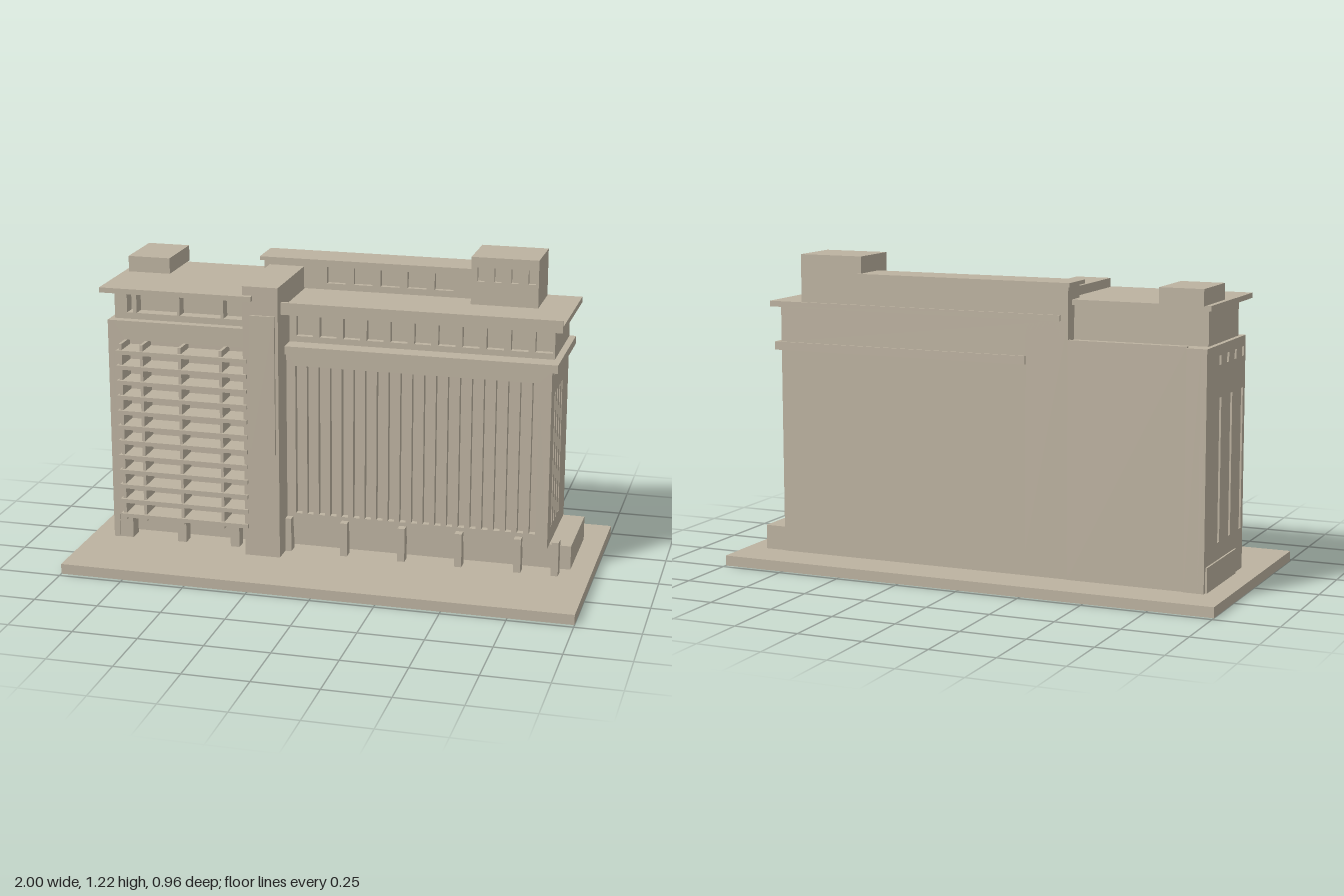
import * as THREE from 'three';

export function createModel() {
  const model = new THREE.Group();
  model.name = 'building';
  const stone = new THREE.MeshStandardMaterial({ color: 0xbcb2a0 });
  stone.name = 'stone';

  const add = (name, geometry) => {
    const mesh = new THREE.Mesh(geometry, stone);
    mesh.name = name;
    model.add(mesh);
    return mesh;
  };
  // Box from its extents along each axis
  const box = (name, x0, x1, y0, y1, z0, z1) =>
    add(name, new THREE.BoxGeometry(x1 - x0, y1 - y0, z1 - z0)
      .translate((x0 + x1) / 2, (y0 + y1) / 2, (z0 + z1) / 2));

  // Wall sheet with rectangular openings; holes are [centre, width, y0, y1]
  const wallGeometry = (a0, a1, y0, y1, depth, holes) => {
    const rect = (path, l, r, b, t) =>
      path.moveTo(l, b).lineTo(r, b).lineTo(r, t).lineTo(l, t).closePath();
    const shape = new THREE.Shape();
    rect(shape, a0, a1, y0, y1);
    for (const [c, w, b, t] of holes) {
      const hole = new THREE.Path();
      rect(hole, c - w / 2, c + w / 2, b, t);
      shape.holes.push(hole);
    }
    return new THREE.ExtrudeGeometry(shape, { depth, bevelEnabled: false });
  };
  const frontWall = (name, x0, x1, y0, y1, z0, z1, holes) =>
    add(name, wallGeometry(x0, x1, y0, y1, z1 - z0, holes).translate(0, 0, z0));
  // side = 1 faces +x, side = -1 faces -x; hole centres are z positions
  const sideWall = (name, side, x, depth, z0, z1, y0, y1, holes) => {
    const [a0, a1] = side > 0 ? [-z1, -z0] : [z0, z1];
    const turned = holes.map(([c, ...rest]) => [-side * c, ...rest]);
    add(name, wallGeometry(a0, a1, y0, y1, depth, turned)
      .rotateY(side * Math.PI / 2).translate(x - side * depth, 0, 0));
  };
  const row = (n, start, pitch, w, y0, y1) =>
    Array.from({ length: n }, (_, i) => [start + i * pitch, w, y0, y1]);

  // Ground
  box('basePlate', -1, 1, 0, 0.04, -0.48, 0.48);
  box('groundFloor', -0.915, 0.915, 0.04, 0.135, -0.305, 0.04);

  // Right wing with tall slots
  box('rightWingCore', -0.2, 0.805, 0.135, 0.84, -0.31, 0.065);
  box('rightWingBackBase', -0.37, 0.83, 0.04, 0.135, -0.31, -0.2);
  frontWall('rightWingFront', -0.2, 0.83, 0.135, 0.84, 0.065, 0.09,
    row(21, -0.152, 0.0461, 0.025, 0.19, 0.79));
  sideWall('rightWingSide', 1, 0.83, 0.025, -0.31, 0.065, 0.135, 0.84, [
    ...row(4, 0.002, -0.0535, 0.023, 0.2, 0.735),
    ...row(4, 0.028, -0.067, 0.024, 0.812, 0.836)]);
  box('rightWingLedge', -0.2, 0.855, 0.84, 0.872, -0.318, 0.115);
  for (const x of [-0.19, 0.035, 0.265, 0.49, 0.72, 0.865])
    box('frontPier', x - 0.014, x + 0.014, 0.04, 0.175, 0.08, 0.122);

  // Attic storey and main roof
  box('atticCore', -0.34, 0.83, 0.872, 1.01, -0.31, 0.015);
  box('backWallStrip', -0.37, -0.2, 0.135, 1.01, -0.31, -0.17);
  frontWall('atticFront', -0.2, 0.83, 0.872, 1.01, 0.015, 0.04,
    row(11, -0.14, 0.0929, 0.066, 0.895, 0.98));
  box('mainRoof', -0.34, 0.875, 1.008, 1.03, -0.318, 0.16);
  box('roofRim', -0.2, 0.875, 1.03, 1.055, 0.147, 0.16);

  // Set back top storey and penthouse
  box('topStoreyCore', -0.37, 0.49, 1.01, 1.135, -0.31, -0.2);
  frontWall('topStoreyFront', -0.34, 0.49, 1.03, 1.135, -0.2, -0.18,
    row(5, -0.072, 0.1075, 0.075, 1.055, 1.12));
  box('topStoreyRoof', -0.38, 0.49, 1.135, 1.15, -0.322, -0.168);
  box('penthouseCore', 0.48, 0.74, 1.03, 1.215, -0.308, -0.112);
  frontWall('penthouseFront', 0.48, 0.74, 1.03, 1.215, -0.112, -0.095,
    row(4, 0.518, 0.0655, 0.028, 1.12, 1.175));

  // Stair tower
  box('stairTower', -0.34, -0.2, 0.04, 1.12, -0.17, 0.2);
  box('towerPanel', -0.31, -0.212, 0.46, 1.01, 0.2, 0.21);

  // Left wing
  box('leftWingCore', -0.885, -0.34, 0.135, 0.935, -0.305, 0.105);
  box('leftWingBack', -0.83, -0.37, 0.04, 0.94, -0.314, -0.3);
  frontWall('leftWingFront', -0.885, -0.34, 0.135, 0.935, 0.105, 0.135,
    [[-0.592, 0.496, 0.155, 0.86]]);
  sideWall('leftWingSide', -1, -0.908, 0.025, -0.32, 0.135, 0.04, 0.935, [
    ...row(3, -0.16, 0.13, 0.023, 0.2, 0.74),
    ...row(4, -0.165, 0.09, 0.024, 0.86, 0.895)]);
  box('leftWingCorner', -0.885, -0.83, 0.04, 0.935, -0.32, -0.28);
  box('cornerPier', -0.885, -0.83, 0.04, 0.135, 0.07, 0.13);
  for (const x of [-0.625, -0.405])
    box('leftPier', x - 0.018, x + 0.018, 0.04, 0.135, 0.08, 0.13);

  // Balcony grid
  for (let i = 0; i < 12; i++) {
    const y = 0.152 + i * 0.0607;
    box('balconySlab', -0.85, -0.325, y, y + 0.016, 0.105, 0.21);
  }
  for (const x of [-0.835, -0.75, -0.595, -0.43])
    box('balconyFin', x - 0.006, x + 0.006, 0.14, 0.86, 0.105, 0.2);

  // Left wing loggia and roof
  box('loggiaCore', -0.89, -0.34, 0.935, 1.07, -0.25, 0.05);
  frontWall('loggiaFront', -0.89, -0.34, 0.935, 1.07, 0.05, 0.1, [
    [-0.827, 0.025, 0.96, 1.055], [-0.718, 0.165, 0.96, 1.055],
    [-0.542, 0.165, 0.96, 1.055], [-0.41, 0.075, 0.96, 1.055]]);
  box('leftRoof', -0.905, -0.3, 1.065, 1.085, -0.272, 0.222);
  box('roofHouse', -0.885, -0.715, 1.085, 1.147, -0.295, -0.055);

  return model;
}
